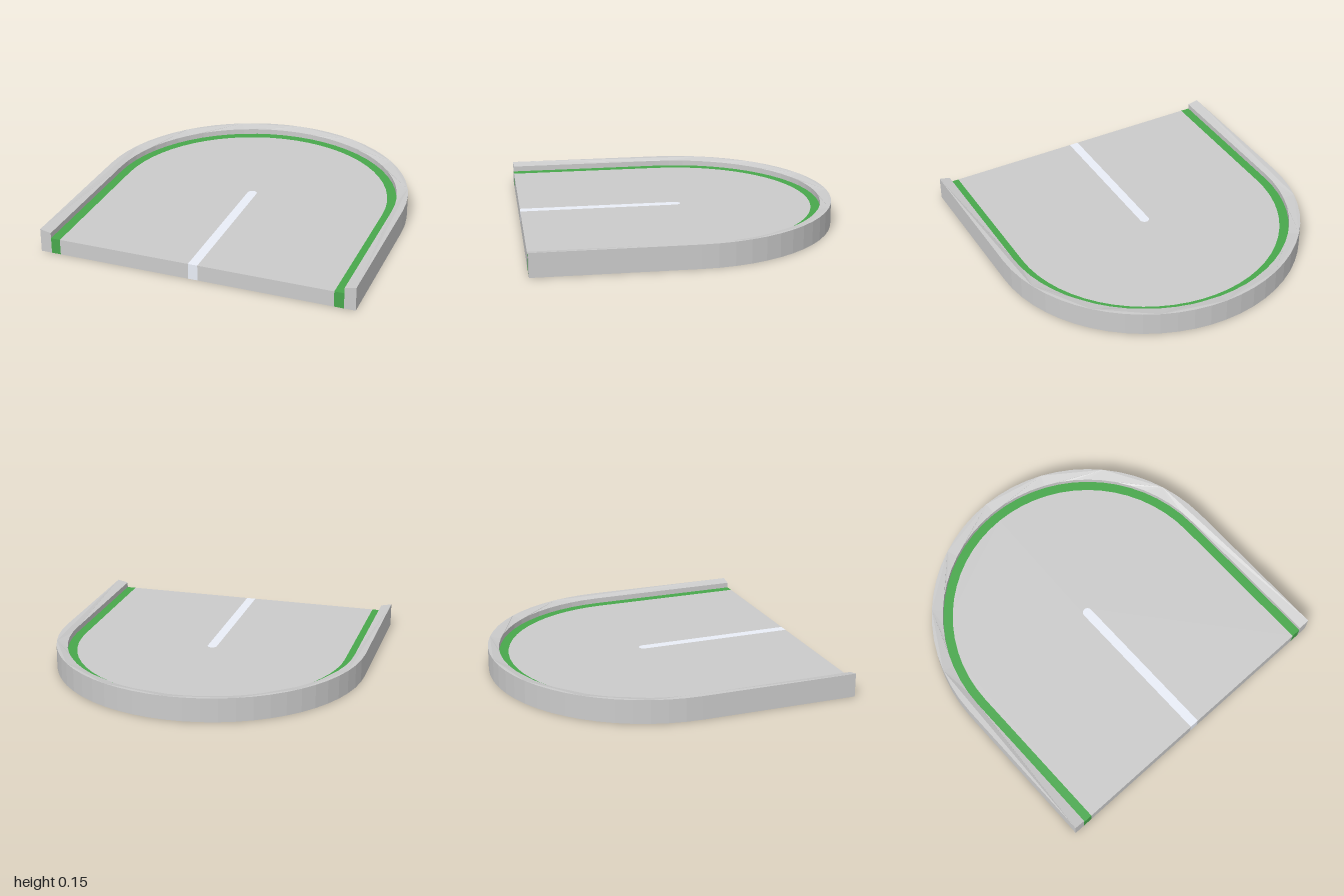
import * as THREE from 'three';

const FRONT = 1, STEPS = 30;

// Arch outline: straight legs from the front edge, joined by a faceted half circle
function archPoints(r) {
  const pts = [new THREE.Vector2(r, -FRONT)];
  for (let i = 0; i <= STEPS; i++) {
    const a = (Math.PI * i) / STEPS;
    pts.push(new THREE.Vector2(r * Math.cos(a), r * Math.sin(a)));
  }
  pts.push(new THREE.Vector2(-r, -FRONT));
  return pts;
}

// Arch-shaped band between two radii (inner 0 gives a solid arch)
function archBand(name, outer, inner, height, color, innerHeight = height) {
  const pts = archPoints(outer);
  if (inner > 0) pts.push(...archPoints(inner).reverse());
  const geo = new THREE.ExtrudeGeometry(new THREE.Shape(pts), { depth: height, bevelEnabled: false });
  geo.rotateX(-Math.PI / 2);

  // Lower the inner top edge so the top slopes inwards
  if (innerHeight !== height) {
    const p = geo.attributes.position;
    for (let i = 0; i < p.count; i++) {
      const x = p.getX(i), z = p.getZ(i);
      const d = z < 0 ? Math.hypot(x, z) : Math.abs(x);
      if (p.getY(i) > height / 2 && d < (outer + inner) / 2) p.setY(i, innerHeight);
    }
    geo.computeVertexNormals();
  }
  const mesh = new THREE.Mesh(geo, new THREE.MeshStandardMaterial({ color, flatShading: true }));
  mesh.name = name;
  return mesh;
}

export function createModel() {
  const group = new THREE.Group();
  group.name = 'roundedEndTile';
  group.add(
    archBand('curb', 1, 0.93, 0.15, 0xcccccc, 0.135),
    archBand('greenStrip', 0.93, 0.87, 0.1, 0x48a84c),
    archBand('floorSlab', 0.87, 0.03, 0.1, 0xcccccc),
    archBand('centreLine', 0.03, 0, 0.1, 0xeaeef8),
  );
  return group;
}
